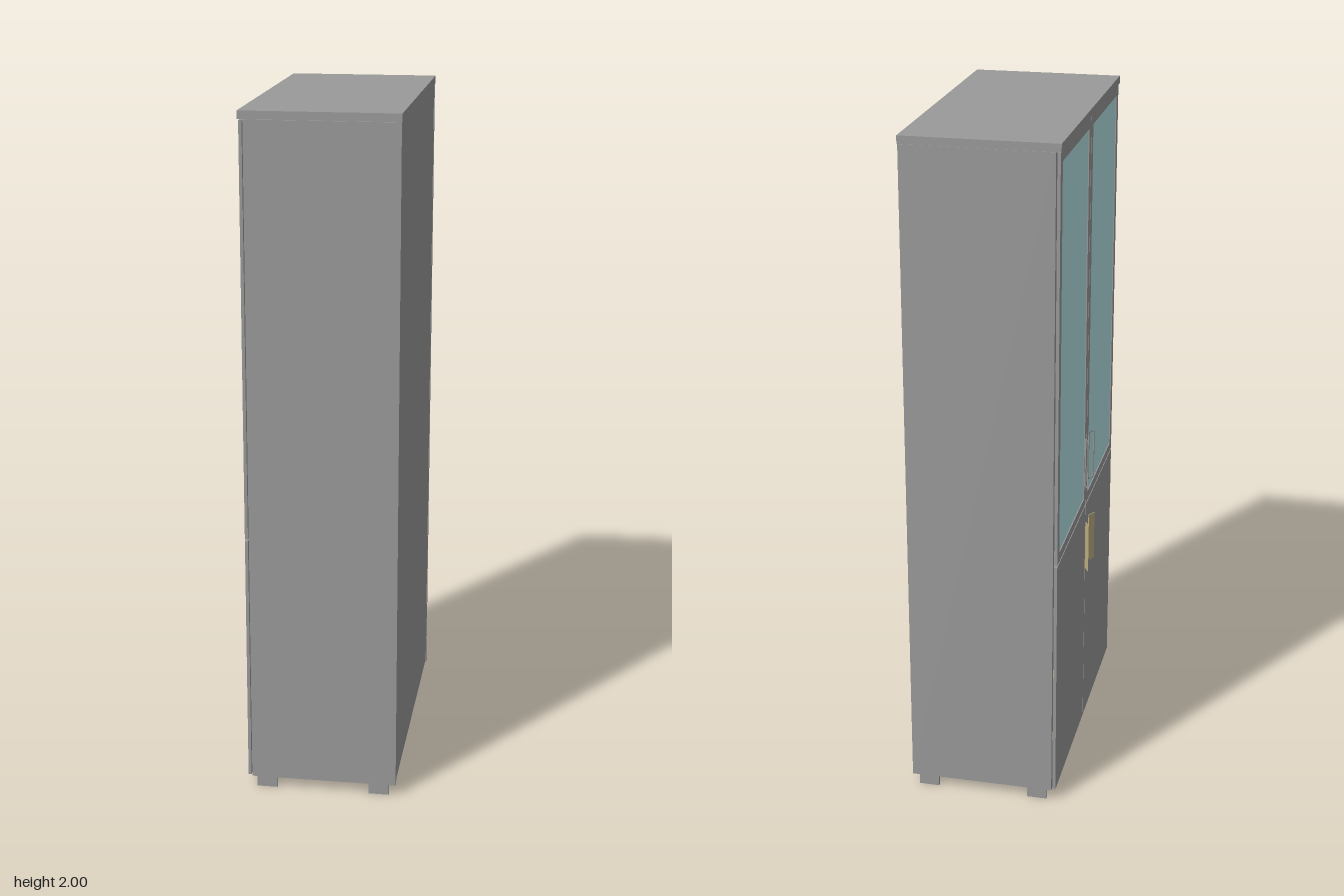
import * as THREE from 'three';

const grey = new THREE.MeshStandardMaterial({ color: 0x9a9a9a });
const wood = new THREE.MeshStandardMaterial({ color: 0xc0b183 });
const glass = new THREE.MeshStandardMaterial({ color: 0xb6e4e8 });

// Box given by its minimum and maximum on each axis
function panel(parent, name, [x0, x1], [y0, y1], [z0, z1], material = grey) {
  const mesh = new THREE.Mesh(new THREE.BoxGeometry(x1 - x0, y1 - y0, z1 - z0), material);
  mesh.position.set((x0 + x1) / 2, (y0 + y1) / 2, (z0 + z1) / 2);
  mesh.name = name;
  parent.add(mesh);
}

// Slanted pull piece: a thin parallelogram extruded upwards, from a to b along the slant (0 to 1)
function pull(parent, name, side, x, [y0, y1], material, a = 0, b = 1) {
  const zIn = side > 0 ? 0.02 : -0.03;
  const t = 0.002;
  const px = (f) => x - 0.013 * f;
  const pz = (f) => zIn + side * 0.025 * f;
  // Shape y becomes -z once the extrusion is stood upright
  const shape = new THREE.Shape();
  shape.moveTo(px(a), -pz(a));
  shape.lineTo(px(b), -pz(b));
  shape.lineTo(px(b) + t, -pz(b));
  shape.lineTo(px(a) + t, -pz(a));
  const geometry = new THREE.ExtrudeGeometry(shape, { depth: y1 - y0, bevelEnabled: false });
  geometry.rotateX(-Math.PI / 2);
  const mesh = new THREE.Mesh(geometry, material);
  mesh.position.y = y0;
  mesh.name = name;
  parent.add(mesh);
}

// Open handle made of two uprights and two crossbars
function openHandle(side, x, y0, y1) {
  const handle = new THREE.Group();
  handle.name = 'upperHandle';
  for (const [a, b] of [[0, 0.1], [0.9, 1]]) pull(handle, 'upright', side, x, [y0, y1], grey, a, b);
  for (const y of [y0, y1 - 0.003]) pull(handle, 'crossbar', side, x, [y, y + 0.003], grey, 0.1, 0.9);
  return handle;
}

// Door frame with an open middle, facing -x
function doorFrame(z0, z1, y0, y1, border) {
  const rect = (path, a, b, c, d) => path.moveTo(a, c).lineTo(b, c).lineTo(b, d).lineTo(a, d).closePath();
  const shape = new THREE.Shape();
  rect(shape, z0, z1, y0, y1);
  const hole = new THREE.Path();
  rect(hole, z0 + border, z1 - border, y0 + border, y1 - border);
  shape.holes.push(hole);
  const geometry = new THREE.ExtrudeGeometry(shape, { depth: 0.009, bevelEnabled: false });
  geometry.rotateY(-Math.PI / 2); // shape x -> z, depth -> -x
  const mesh = new THREE.Mesh(geometry, grey);
  mesh.position.x = -0.203;
  mesh.name = 'glassDoorFrame';
  return mesh;
}

export function createModel() {
  const cabinet = new THREE.Group();
  cabinet.name = 'cabinet';

  // Carcass, with the top overhanging a little all round
  panel(cabinet, 'top', [-0.215, 0.23], [1.977, 2], [-0.451, 0.451]);
  panel(cabinet, 'back', [0.222, 0.2275], [0.043, 1.976], [-0.448, 0.448]);
  panel(cabinet, 'bottom', [-0.198, 0.222], [0.033, 0.05], [-0.432, 0.432], wood);
  for (const s of [-1, 1]) {
    const z = s > 0 ? [0.432, 0.449] : [-0.449, -0.432];
    panel(cabinet, 'sidePanel', [-0.2, 0.2285], [0.033, 1.976], z);
  }

  // Inner shelves
  for (const y of [0.4, 0.77, 1.17, 1.57]) {
    panel(cabinet, 'shelf', [-0.18, 0.222], [y, y + 0.018], [-0.432, 0.432]);
  }

  // Doors: solid below, framed glass above
  for (const s of [-1, 1]) {
    const z = s > 0 ? [-0.002, 0.446] : [-0.446, -0.006];
    const door = new THREE.Group();
    door.name = s > 0 ? 'leftDoors' : 'rightDoors';
    panel(door, 'lowerDoor', [-0.212, -0.203], [0.036, 0.775], z);
    door.add(doorFrame(z[0], z[1], 0.78, 1.974, 0.028));
    panel(door, 'glassPane', [-0.209, -0.204], [0.805, 1.949], [z[0] + 0.025, z[1] - 0.025], glass);
    door.add(openHandle(s, -0.214, 0.85, 1.005));
    pull(door, 'lowerHandle', s, -0.218, [0.575, 0.73], wood);
    cabinet.add(door);
  }

  // Feet: bent plates with a flange under the cabinet
  for (const s of [-1, 1]) {
    for (const x of [-0.155, 0.178]) {
      const foot = new THREE.Group();
      foot.name = 'foot';
      const span = (a, b) => (s > 0 ? [a, b] : [-b, -a]);
      panel(foot, 'footPlate', [x - 0.03, x + 0.03], [0, 0.033], span(0.435, 0.446));
      panel(foot, 'footFlange', [x - 0.03, x + 0.03], [0.028, 0.033], span(0.425, 0.435));
      cabinet.add(foot);
    }
  }
  return cabinet;
}
